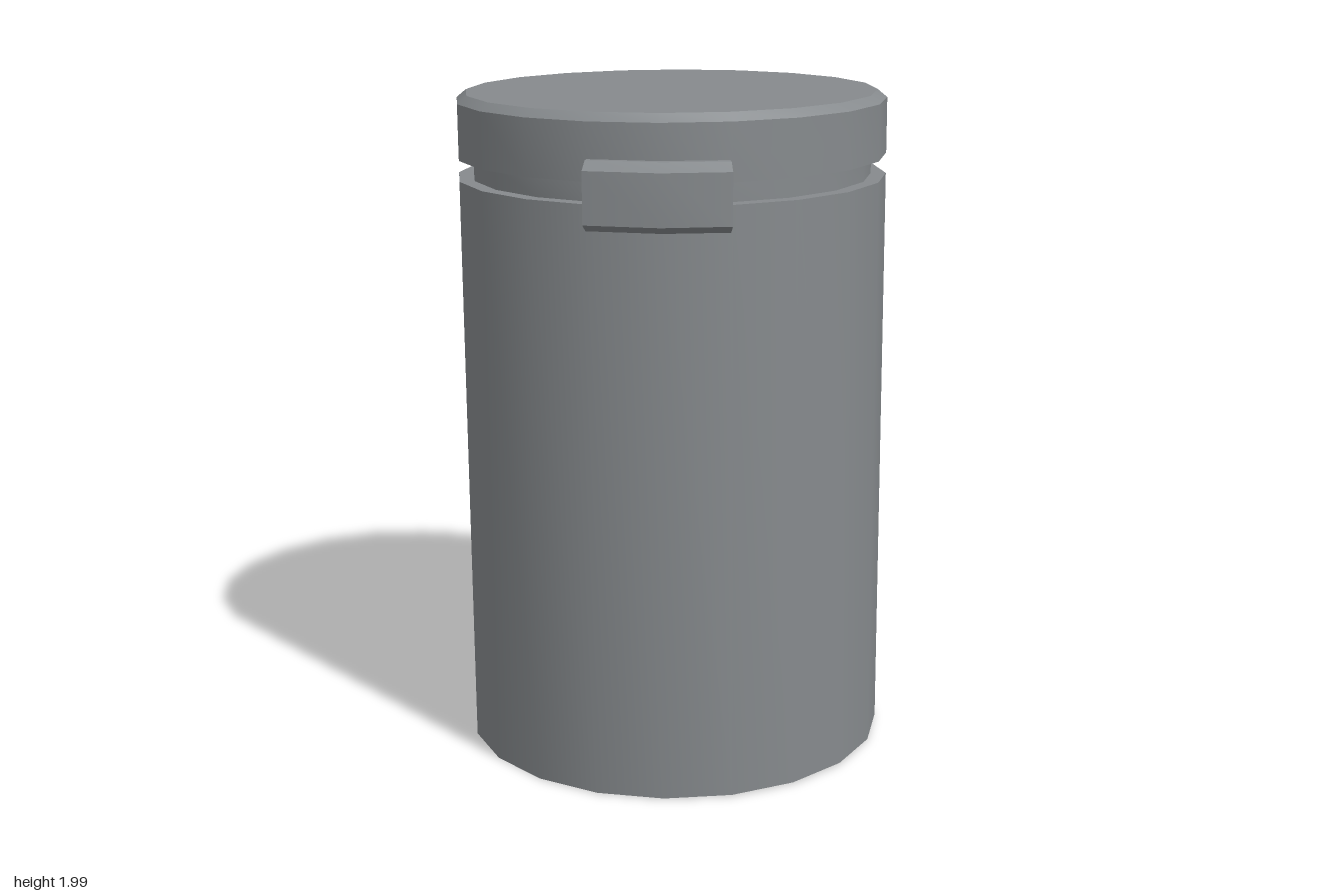
import * as THREE from 'three';
import { toCreasedNormals } from 'three/addons/utils/BufferGeometryUtils.js';

const material = new THREE.MeshStandardMaterial({ color: 0x868a8d, side: THREE.DoubleSide });
const CREASE = 0.5;

// Closed block: a section of [t, y] corners swept over stations of
// [inner x, inner z, outer x, outer z]; t runs from inner (0) to outer (1).
function sweptBlock(stations, section) {
  const n = section.length;
  const positions = [];
  const index = [];
  for (const [ix, iz, ox, oz] of stations) {
    for (const [t, y] of section) positions.push(ix + (ox - ix) * t, y, iz + (oz - iz) * t);
  }
  for (let i = 0; i < stations.length - 1; i++) {
    for (let j = 0; j < n; j++) {
      const a = i * n + j;
      const b = i * n + (j + 1) % n;
      index.push(a, b, b + n, a, b + n, a + n);
    }
  }
  const last = (stations.length - 1) * n;
  for (let j = 1; j < n - 1; j++) {
    index.push(0, j + 1, j, last, last + j, last + j + 1);
  }
  const geometry = new THREE.BufferGeometry();
  geometry.setAttribute('position', new THREE.Float32BufferAttribute(positions, 3));
  geometry.setIndex(index);
  return toCreasedNormals(geometry, CREASE);
}

function lathe(points) {
  const profile = points.map(([r, y]) => new THREE.Vector2(r, y));
  return toCreasedNormals(new THREE.LatheGeometry(profile, 20), CREASE);
}

function addPart(parent, name, geometry) {
  const mesh = new THREE.Mesh(geometry, material);
  mesh.name = name;
  parent.add(mesh);
}

export function createModel() {
  const model = new THREE.Group();
  model.name = 'pedalBin';

  // Round bin, very slightly tilted, open underneath
  const bin = new THREE.Group();
  bin.name = 'bin';
  bin.position.set(-0.048, 0.01, 0);
  bin.rotation.set(0, -0.023, 0.0075);
  model.add(bin);

  addPart(bin, 'body', lathe([[0.64, 0], [0.64, 1.737], [0.595, 1.737]]));
  addPart(bin, 'neck', lathe([[0.595, 1.737], [0.595, 1.798]]));
  addPart(bin, 'lid', lathe([[0.595, 1.798], [0.64, 1.798], [0.64, 1.962], [0.612, 1.985], [0, 1.985]]));

  // Foot pedal with a bevelled outer top edge
  addPart(model, 'pedal', sweptBlock(
    [
      [0.33, -0.505, 0.48, -0.632],
      [0.47, -0.365, 0.632, -0.475],
      [0.56, -0.18, 0.729, -0.277],
    ],
    [[0, 0.012], [1, 0.012], [1, 0.128], [0.73, 0.178], [0, 0.178]],
  ));

  // Hinge opposite the pedal, bevelled above and below, seated in the neck groove
  addPart(model, 'hinge', sweptBlock(
    [
      [-0.42, 0.47, -0.5, 0.546],
      [-0.53, 0.34, -0.638, 0.406],
      [-0.62, 0.155, -0.729, 0.211],
    ],
    [[0, 1.673], [0.68, 1.673], [1, 1.695], [1, 1.842], [0.68, 1.866], [0, 1.866]],
  ));

  return model;
}
